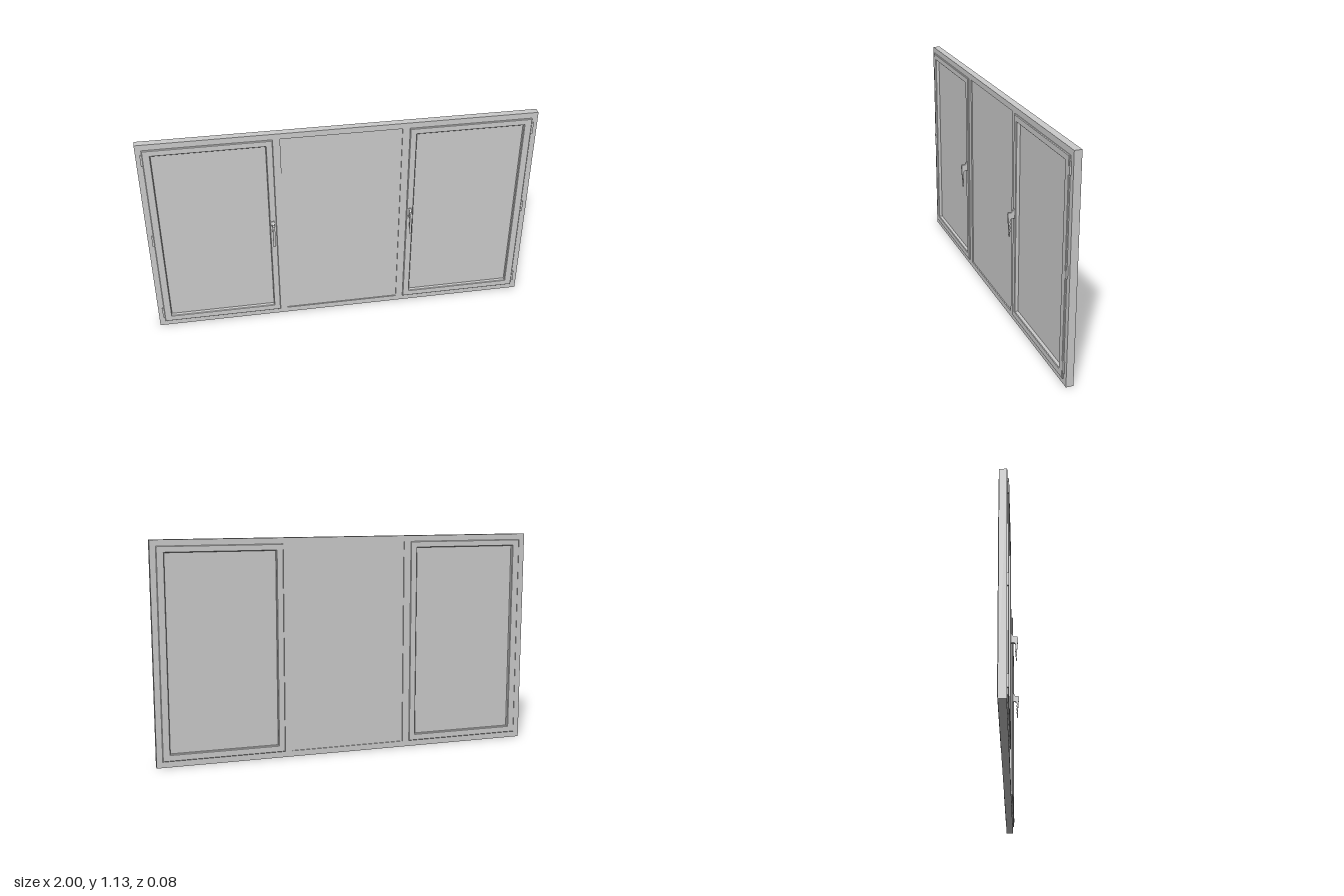
import * as THREE from 'three';

const material = new THREE.MeshStandardMaterial({ color: 0xcccccc, flatShading: true });

function rect(path, x0, x1, y0, y1) {
  path.moveTo(x0, y0);
  path.lineTo(x1, y0);
  path.lineTo(x1, y1);
  path.lineTo(x0, y1);
  path.closePath();
  return path;
}

// Flat plate between two depths, with rectangular openings and an optional chamfer
function plate(outer, holes, z0, z1, bevel = 0) {
  const shape = rect(new THREE.Shape(), ...outer);
  holes.forEach(h => shape.holes.push(rect(new THREE.Path(), ...h)));
  const geometry = new THREE.ExtrudeGeometry(shape, {
    depth: z1 - z0 - 2 * bevel, bevelEnabled: bevel > 0,
    bevelSize: bevel, bevelThickness: bevel, bevelOffset: -bevel, bevelSegments: 1,
  });
  return geometry.translate(0, 0, z0 + bevel);
}

function add(parent, name, geometry, x = 0, y = 0, z = 0) {
  const mesh = new THREE.Mesh(geometry, material);
  mesh.name = name;
  mesh.position.set(x, y, z);
  parent.add(mesh);
  return mesh;
}

// Lever handle: side profile in (z, y), with finger notches, extruded across x
function handleGeometry(width) {
  const profile = [
    [0.006, 0.575], [0.024, 0.574], [0.029, 0.569], [0.031, 0.558], [0.029, 0.548],
    [0.031, 0.538], [0.028, 0.529], [0.031, 0.519], [0.029, 0.508], [0.032, 0.498],
    [0.031, 0.482], [0.035, 0.480], [0.036, 0.488], [0.035, 0.500], [0.037, 0.530],
    [0.040, 0.560], [0.042, 0.601], [0.039, 0.607], [0.022, 0.607], [0.018, 0.612],
    [0.016, 0.618], [0.011, 0.622], [0.006, 0.622],
  ];
  const shape = new THREE.Shape(profile.map(([z, y]) => new THREE.Vector2(z, y)));
  return new THREE.ExtrudeGeometry(shape, { depth: width, bevelEnabled: false })
    .translate(0, 0, -width / 2)
    .rotateY(-Math.PI / 2);
}

export function createModel() {
  const group = new THREE.Group();
  group.name = 'window';

  // Outer frame with three openings
  const openings = [
    [-0.945, -0.365, 0.055, 1.08],
    [-0.305, 0.305, 0.03, 1.1],
    [0.365, 0.945, 0.055, 1.08],
  ];
  add(group, 'frame', plate([-1, 1, 0, 1.13], openings, -0.037, 0));
  add(group, 'centrePane', new THREE.BoxGeometry(0.62, 1.08, 0.025), 0, 0.565, -0.0185);

  for (const side of [-1, 1]) {
    const casement = new THREE.Group();
    casement.name = side > 0 ? 'leftCasement' : 'rightCasement';
    group.add(casement);
    const span = (a, b) => (side > 0 ? [a, b] : [-b, -a]);

    // Sash standing slightly proud of the frame on both faces
    add(casement, 'sash', plate(
      [...span(0.342, 0.97), 0.03, 1.1],
      [[...span(0.377, 0.931), 0.065, 1.067]], -0.04, 0.008, 0.003));

    // Glass recessed in the sash
    add(casement, 'glass', new THREE.BoxGeometry(0.57, 1.02, 0.008),
      side * 0.654, 0.566, -0.016);

    // Hinges along the outer edge
    for (const y of [0.09, 0.567, 1.045]) {
      add(casement, 'hinge', new THREE.BoxGeometry(0.01, 0.062, 0.008),
        side * 0.974, y, 0.004);
    }

    // Handle on the inner stile
    add(casement, 'handlePlate', new THREE.BoxGeometry(0.016, 0.05, 0.006),
      side * 0.36, 0.599, 0.009);
    add(casement, 'handle', handleGeometry(0.012), side * 0.36);
  }

  return group;
}
